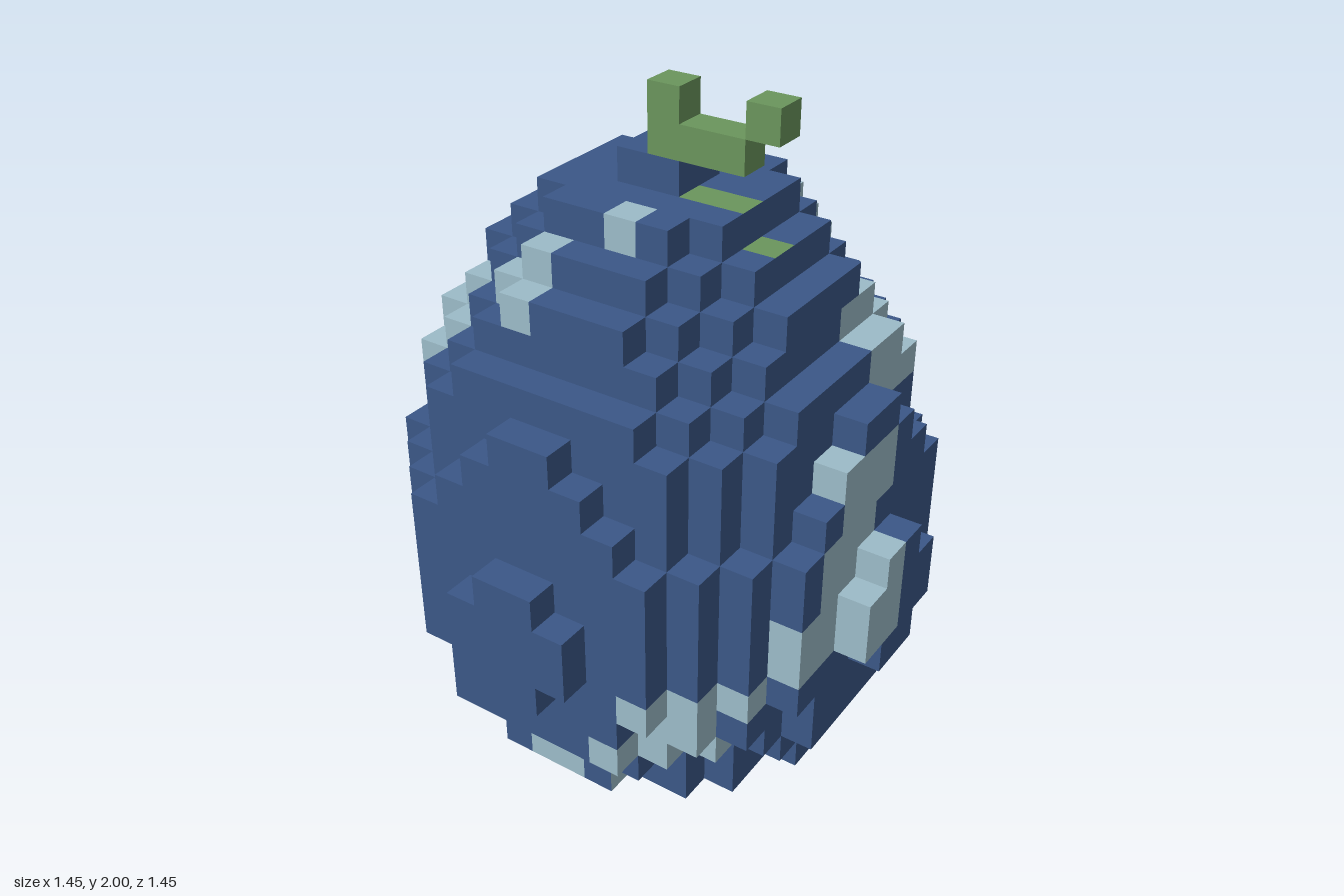
import * as THREE from 'three';

const U = 1 / 11; // edge of one cube

const mat = (name, color) => Object.assign(new THREE.MeshStandardMaterial({ color }), { name });

// Squared radius of each round layer, bottom to top
const LAYERS = [5, 16, 34, 39, 49.5, 52, 57.5, 59.5, 59.5, 57.5, 55.5, 50, 46.5, 43.5, 37, 29, 24, 16, 9, 1.5];

// Pale spiral on the front faces: layer -> x cells
const FRONT = {
  18: [0], 17: [-2], 16: [-3, -2], 15: [-5], 14: [-6, -5], 13: [-6], 12: [6], 9: [7], 8: [6, 7], 7: [6, 7],
  6: [3, 4, 5], 5: [3, 4], 4: [2, 3, 4], 3: [-1, 0, 1], 2: [-1, 0], 1: [-3, -2],
};
// Pale spiral on the +x faces: layer -> z cells
const SIDE = {
  17: [-4], 16: [-5, -4], 15: [-3, -2], 14: [-4, -3, -2], 13: [-4, -3, -2], 12: [-1, 0, 1], 11: [-1, 0, 1],
  10: [0, 1, 2], 9: [0, 1, 2], 8: [0, 1, 2, 3], 7: [0, 1, 2, 3], 6: [4, 5, 6], 5: [5], 4: [4, 5, 6, -5, -6],
  2: [5, -6], 1: [-4],
};
// Pale spiral on upward and downward faces: z -> x cells (half, repeated by a half turn)
const TOP = { '-5': [1], '-4': [1, 2, 4, 5], '-3': [-1, 4, 5], '-2': [5, -8, -7], '-1': [-8] };
const BOTTOM = { 0: [7], 1: [7], 3: [-3, -2, 6], 4: [-1, 0], 5: [-1, 0, 1, 3, 4, 5], 6: [2, 3, 4] };

const has = (map, row, cell) => (map[row] || []).includes(cell);
const flip = (i) => -1 - i; // half turn of a cell index
const hasTwice = (map, x, z) => has(map, z, x) || has(map, flip(z), flip(x));

// Stem cubes as x, layer
const STEM = [[0, 20], [1, 20], [2, 20], [0, 21], [3, 21]];
const inStem = (x, y, z) => z === 0 && STEM.some(([a, b]) => a === x && b === y);
const inEgg = (x, y, z) => y >= 0 && y < LAYERS.length && (x + 0.5) ** 2 + (z + 0.5) ** 2 < LAYERS[y];

// Colour of a cube face from its direction
function paint(x, y, z, [dx, dy, dz]) {
  if (dy > 0) return z === 0 && x >= 0 && x <= 3 ? 'green' : hasTwice(TOP, x, z) ? 'pale' : 'blue';
  if (dy < 0) return hasTwice(BOTTOM, x, z) ? 'pale' : 'blue';
  if (y >= 20) return 'green';
  const pale = dz ? has(FRONT, y, dz > 0 ? x : flip(x)) : has(SIDE, y, dx > 0 ? z : flip(z));
  return pale ? 'pale' : 'blue';
}

const DIRECTIONS = [[1, 0, 0], [-1, 0, 0], [0, 1, 0], [0, -1, 0], [0, 0, 1], [0, 0, -1]];

// Adds one outward-facing square to a position and normal list
function addFace(out, cell, dir) {
  const n = new THREE.Vector3(...dir);
  const a = new THREE.Vector3(dir[1], dir[2], dir[0]);
  const b = n.clone().cross(a);
  const c = new THREE.Vector3(...cell).addScalar(0.5).addScaledVector(n, 0.5);
  for (const [s, t] of [[-1, -1], [1, -1], [1, 1], [-1, -1], [1, 1], [-1, 1]]) {
    const p = c.clone().addScaledVector(a, s / 2).addScaledVector(b, t / 2).multiplyScalar(U);
    out.positions.push(p.x, p.y, p.z);
    out.normals.push(...dir);
  }
}

// Skins a set of cubes, with one mesh per colour
function buildCubes(name, inside, names, materials) {
  const skins = {};
  for (let y = 0; y < 22; y++) for (let x = -8; x < 8; x++) for (let z = -8; z < 8; z++) {
    if (!inside(x, y, z)) continue;
    for (const d of DIRECTIONS) {
      if (inside(x + d[0], y + d[1], z + d[2])) continue;
      const key = paint(x, y, z, d);
      skins[key] ??= { positions: [], normals: [] };
      addFace(skins[key], [x, y, z], d);
    }
  }
  const group = new THREE.Group();
  group.name = name;
  for (const key in skins) {
    const g = new THREE.BufferGeometry();
    g.setAttribute('position', new THREE.Float32BufferAttribute(skins[key].positions, 3));
    g.setAttribute('normal', new THREE.Float32BufferAttribute(skins[key].normals, 3));
    const mesh = new THREE.Mesh(g, materials[key]);
    mesh.name = names[key];
    group.add(mesh);
  }
  return group;
}

export function createModel() {
  const materials = {
    blue: mat('deep blue', 0x3b5787),
    pale: mat('pale blue', 0x9cbbc8),
    green: mat('leaf green', 0x6a955c),
  };
  const model = new THREE.Group();
  model.name = 'stemmedEgg';
  model.add(
    buildCubes('egg', inEgg, { blue: 'shell', pale: 'spiralStripe', green: 'stemPatch' }, materials),
    buildCubes('stem', inStem, { blue: 'stemUnderside', green: 'stemTwig' }, materials),
  );
  return model;
}
